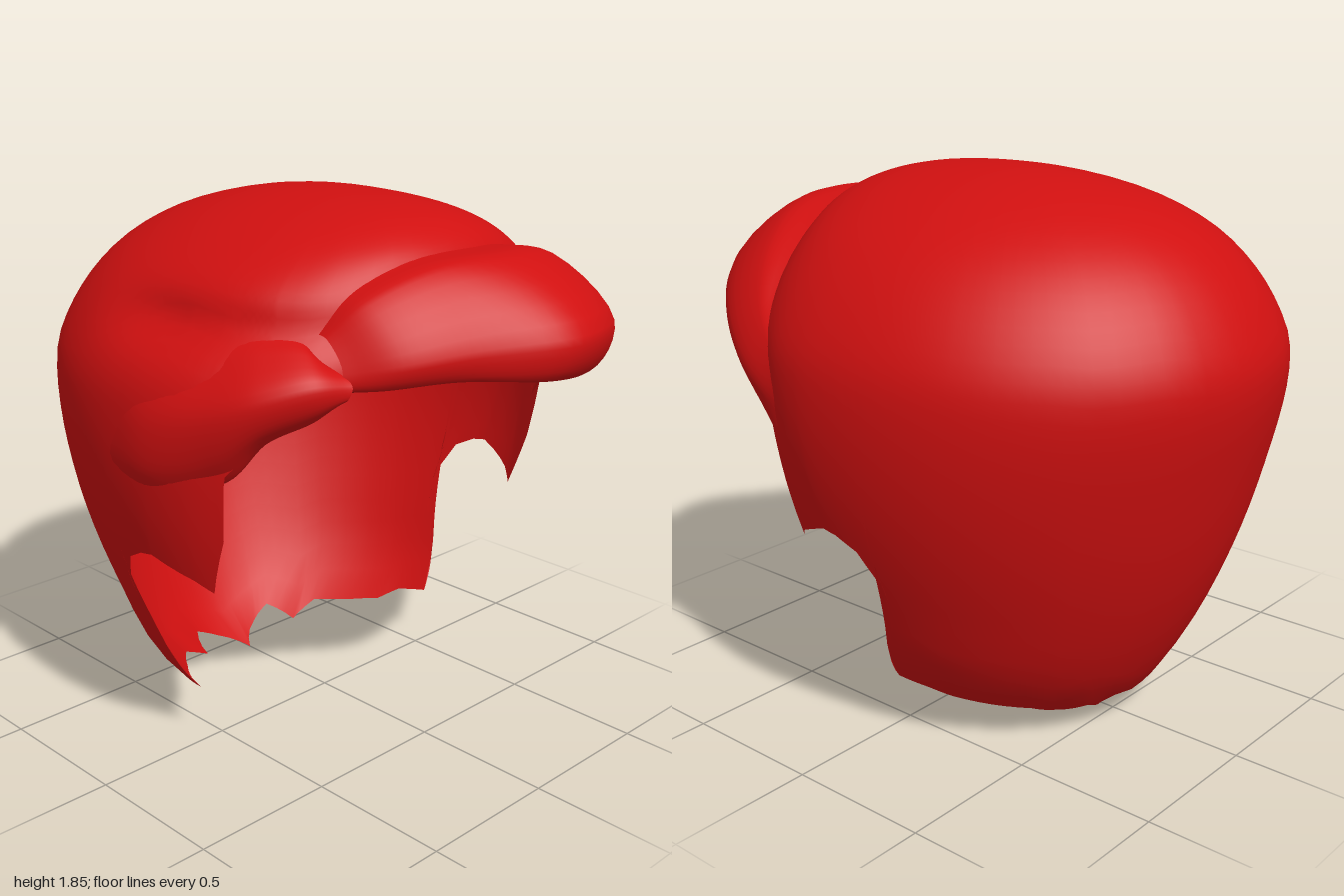
import * as THREE from 'three';
import { mergeVertices } from 'three/addons/utils/BufferGeometryUtils.js';

const TOP = 1.845;
const rad = THREE.MathUtils.degToRad;
const V = (x, y, z) => new THREE.Vector3(x, y, z);

// Horizontal cross-sections of the cap: height, half width, depth behind, depth in front
const sections = [
  [1.845, 0, 0, 0], [1.82, 0.22, 0.3, 0.35], [1.74, 0.46, 0.6, 0.55], [1.62, 0.65, 0.8, 0.62],
  [1.4, 0.82, 0.965, 0.67], [1.28, 0.86, 1.0, 0.66], [0.9, 0.845, 0.93, 0.58], [0.5, 0.725, 0.8, 0.5],
  [0.2, 0.58, 0.65, 0.5], [0.1, 0.46, 0.58, 0.5], [0.05, 0.36, 0.52, 0.5], [0, 0.2, 0.42, 0.5],
];
const profile = new THREE.CubicInterpolant(
  sections.map((s) => Math.sqrt(TOP - s[0])), sections.flatMap((s) => s.slice(1)), 3, new Float32Array(3));

// Point on the cap; the angle runs from the back (0) over +x (90) to the front (180)
function capPoint(deg, y, scale = 1) {
  const [rx, zb, zf] = profile.evaluate(Math.sqrt(Math.max(0, TOP - y)));
  const s = Math.sin(rad(deg)), c = -Math.cos(rad(deg));
  const bend = c > 0 ? 0.87 : 1;
  let x = Math.sign(s) * rx * Math.pow(Math.abs(s), THREE.MathUtils.lerp(1, bend, Math.min(1, Math.abs(c) * 4)));
  const z = c > 0 ? zf * Math.pow(c, bend) : zb * c;
  // The parting: a groove along the -x side
  if (x < 0) x *= 1 - 0.08 * Math.exp(-(((y - 1.52) / 0.07) ** 2)) * THREE.MathUtils.smoothstep(c, -0.4, 0.1);
  return V(x * scale, y, z * scale);
}

// Smooth sheet through a grid of points
function sheet(grid) {
  const n = grid[0].length, index = [];
  for (let i = 0; i < grid.length - 1; i++) {
    for (let j = 0; j < n - 1; j++) {
      const a = i * n + j, b = a + n;
      index.push(a, a + 1, b, b, a + 1, b + 1);
    }
  }
  let geometry = new THREE.BufferGeometry().setFromPoints(grid.flat());
  geometry.setIndex(index);
  geometry = mergeVertices(geometry, 1e-4);
  geometry.computeVertexNormals();
  return geometry;
}

// Hem of one half: angle at the hem, height, angle at the crown
const hem = [
  [0, 0, 0], [15, 0.05, 15], [24, 0.09, 24], [38, 0.05, 38], [46, 0.1, 46], [60, 0.11, 56],
  [72, 0.13, 64], [78, 0.17, 69], [88, 0.19, 74], [86, 0.28, 77], [83, 0.38, 80], [80, 0.48, 82],
  [80, 0.6, 85], [85, 0.73, 90], [90, 0.77, 94], [94, 0.78, 99], [109, 0.72, 108], [115, 0.68, 113],
  [120.5, 0.88, 117], [121, 1.0, 120], [121, 1.1, 124], [135, 1.28, 138], [155, 1.4, 156], [180, 1.45, 180],
];

function capGeometry() {
  const half = [];
  for (let i = 0; i < hem.length - 1; i++) {
    for (let k = 0; k < 3; k++) half.push(hem[i].map((v, c) => THREE.MathUtils.lerp(v, hem[i + 1][c], k / 3)));
  }
  half.push(hem[hem.length - 1]);
  const mirrored = half.slice(1).reverse().map(([a, y, a0]) => [-a, y, -a0]);
  const rows = 34;
  return sheet([...mirrored, ...half].map(([a, yHem, a0]) => Array.from({ length: rows + 1 }, (_, j) => {
    const s = j / rows;
    return capPoint(THREE.MathUtils.lerp(a0, a, s ** 6), TOP - (TOP - yHem) * s ** 1.8);
  })));
}

// Puffed lock: each station has a root on the cap [angle, height], an outermost point and a lower edge
function lockGeometry(stations, lift) {
  const rails = stations.map(([[deg, y], b, h]) => {
    const root = capPoint(deg, y, 0.985), bulge = V(...b), edge = V(...h);
    const size = Math.min(1, root.distanceTo(bulge) / 0.4);
    const ridge = root.clone().lerp(bulge, 0.42).add(V(0, lift * size, 0));
    const under = bulge.clone().lerp(edge, 0.5).add(V(bulge.x * 0.03, -0.05 * size, bulge.z * 0.03));
    const angle = THREE.MathUtils.radToDeg(Math.atan2(edge.x / 0.85, -edge.z / 0.66));
    const inner = capPoint(angle, edge.y + 0.1, 0.97);
    return new THREE.CatmullRomCurve3([root, ridge, bulge, under, edge, inner], false, 'centripetal').getPoints(25);
  });
  const lines = rails[0].map((_, j) =>
    new THREE.CatmullRomCurve3(rails.map((r) => r[j]), false, 'centripetal').getPoints(48));
  return sheet(lines);
}

// Swept fringe, from the +x temple to the parting
const fringe = [
  [[98, 1.22], [0.83, 1.12, 0.2], [0.74, 1.04, 0.33]],
  [[122, 1.42], [0.78, 1.26, 0.46], [0.66, 1.2, 0.46]],
  [[132, 1.55], [0.64, 1.4, 0.69], [0.5, 1.26, 0.62]],
  [[151, 1.68], [0.38, 1.48, 0.91], [0.3, 1.3, 0.8]],
  [[175, 1.71], [0.08, 1.5, 1.0], [0, 1.36, 0.88]],
  [[199, 1.7], [-0.2, 1.48, 0.85], [-0.25, 1.39, 0.72]],
  [[217, 1.62], [-0.4, 1.45, 0.73], [-0.42, 1.37, 0.6]],
  [[225, 1.52], [-0.51, 1.42, 0.6], [-0.52, 1.36, 0.52]],
];

// Side lock on the other side of the parting, front to back
const sideLock = [
  [[222, 1.45], [-0.5, 1.39, 0.63], [-0.5, 1.34, 0.58]],
  [[228, 1.5], [-0.62, 1.4, 0.59], [-0.56, 1.28, 0.54]],
  [[240, 1.51], [-0.74, 1.36, 0.48], [-0.66, 1.21, 0.44]],
  [[252, 1.49], [-0.82, 1.3, 0.32], [-0.73, 1.08, 0.34]],
  [[270, 1.47], [-0.87, 1.25, 0.08], [-0.83, 1.0, 0.12]],
  [[285, 1.44], [-0.82, 1.2, -0.22], [-0.81, 1.0, -0.2]],
];

export function createModel() {
  const group = new THREE.Group();
  group.name = 'hair';
  const red = new THREE.MeshStandardMaterial({ color: 0xd01010, side: THREE.DoubleSide });
  red.name = 'red hair';
  const add = (name, geometry) => {
    const mesh = new THREE.Mesh(geometry, red);
    mesh.name = name;
    group.add(mesh);
  };
  add('hairCap', capGeometry());
  add('fringe', lockGeometry(fringe, 0.08));
  add('sideLock', lockGeometry(sideLock, 0.03));
  return group;
}
